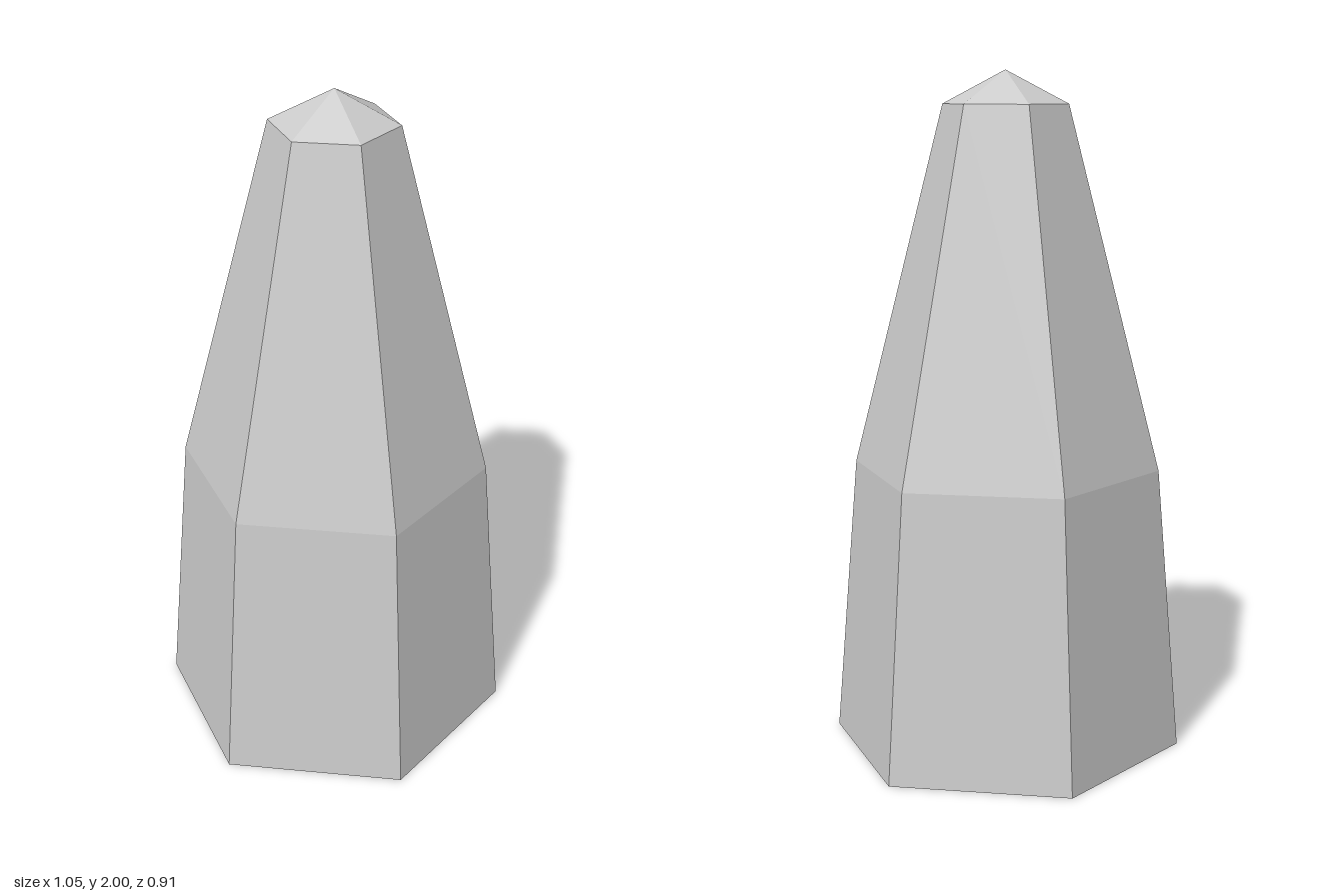
import * as THREE from 'three';

const SIDES = 6;

// Six-sided lathe with corners on the x axis and one flat normal per face
function facetedLathe(profile) {
  const points = profile.map(([r, y]) => new THREE.Vector2(r, y));
  const geometry = new THREE.LatheGeometry(points, SIDES, Math.PI / 2).toNonIndexed();
  geometry.computeVertexNormals();
  return geometry;
}

export function createModel() {
  const group = new THREE.Group();
  group.name = 'hexagonalCrystal';
  const material = new THREE.MeshStandardMaterial({ color: 0xcccccc, flatShading: true });

  const add = (name, profile) => {
    const mesh = new THREE.Mesh(facetedLathe(profile), material);
    mesh.name = name;
    group.add(mesh);
  };

  // Closed base and gently tapering lower body, then the steeper upper body
  add('body', [[0, 0], [0.525, 0], [0.456, 0.843], [0.184, 1.904]]);
  // Low pyramid tip
  add('tip', [[0.184, 1.904], [0, 2]]);

  return group;
}
